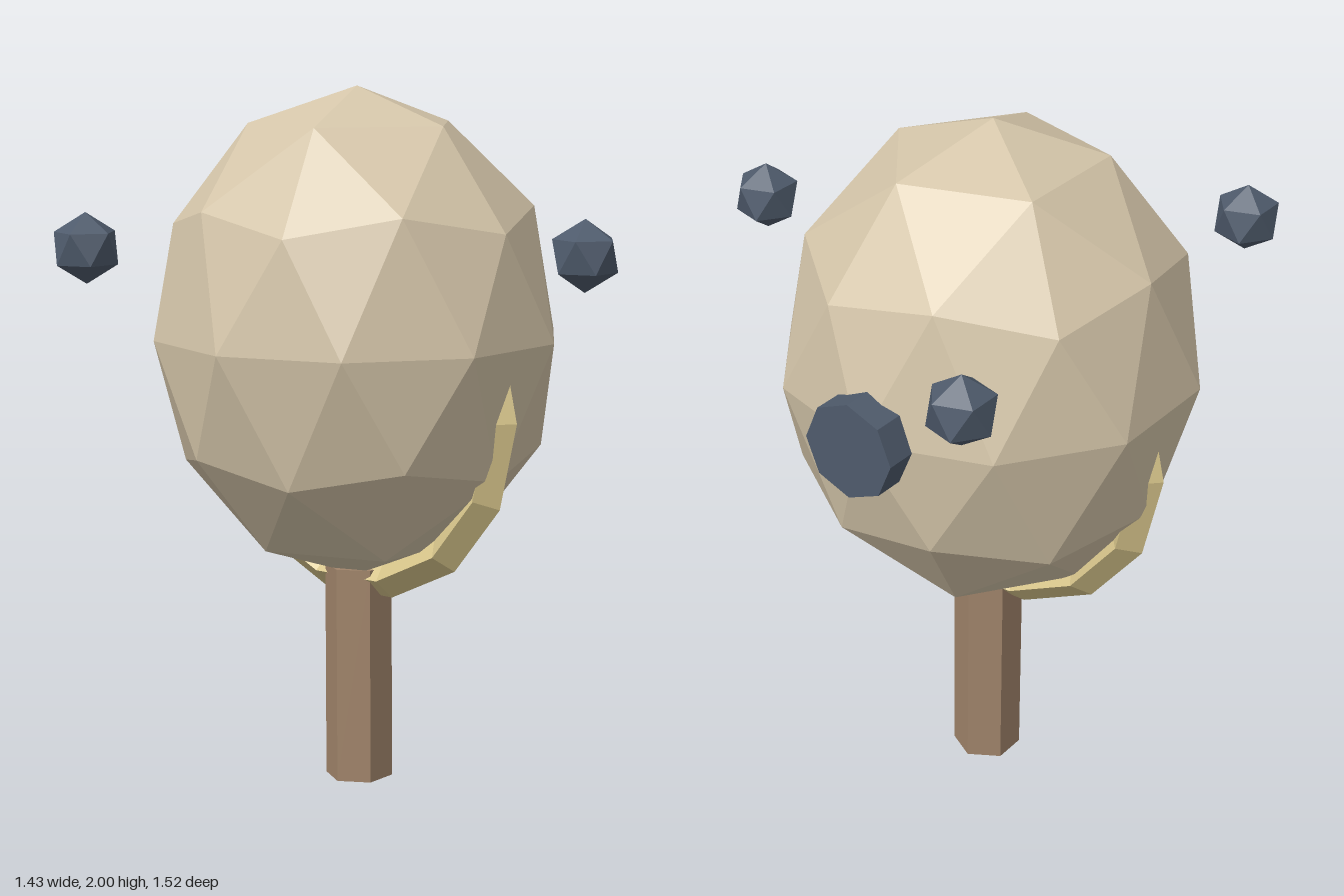
import * as THREE from 'three';

const mat = (name, color) => {
  const m = new THREE.MeshStandardMaterial({ color, flatShading: true });
  m.name = name;
  return m;
};

// Icosphere turned so that one vertex points straight up
function poleIcosphere(radius, detail) {
  const g = new THREE.IcosahedronGeometry(radius, detail);
  g.rotateZ(-Math.atan(2 / (1 + Math.sqrt(5))));
  return g;
}

export function createModel() {
  const group = new THREE.Group();
  const AXIS = -0.155; // x of the main vertical axis

  const cream = mat('cream', 0xd4c5a9);
  const wood = mat('wood brown', 0xa0846a);
  const gold = mat('pale gold', 0xd6c48a);
  const slate = mat('slate', 0x4f5b6c);

  const add = (name, geometry, material, x, y, z) => {
    const mesh = new THREE.Mesh(geometry, material);
    mesh.name = name;
    mesh.position.set(x, y, z);
    group.add(mesh);
    return mesh;
  };

  // Faceted egg-shaped body
  const body = poleIcosphere(1, 1);
  body.scale(0.585, 0.7, 0.585);
  add('body', body, cream, AXIS, 1.3, 0);

  // Hexagonal post
  add('post', new THREE.CylinderGeometry(0.0975, 0.0975, 0.63, 6), wood, AXIS, 0.315, 0);

  // Cradle ring, its upper half sunk in the body
  add('cradleRing', new THREE.TorusGeometry(0.508, 0.057, 4, 14), gold, AXIS, 1.1, 0);

  // Octagonal knob at the back
  const knob = new THREE.CylinderGeometry(0.137, 0.137, 0.14, 8);
  knob.rotateX(Math.PI / 2);
  add('backKnob', knob, slate, AXIS, 1.297, -0.56);

  // Three small stones floating around the body
  for (let i = 0; i < 3; i++) {
    const a = (i * Math.PI * 2) / 3;
    add('floatingStone' + (i + 1), poleIcosphere(0.0975, 0), slate,
      AXIS + 0.782 * Math.cos(a), 1.572, 0.782 * Math.sin(a));
  }

  return group;
}
